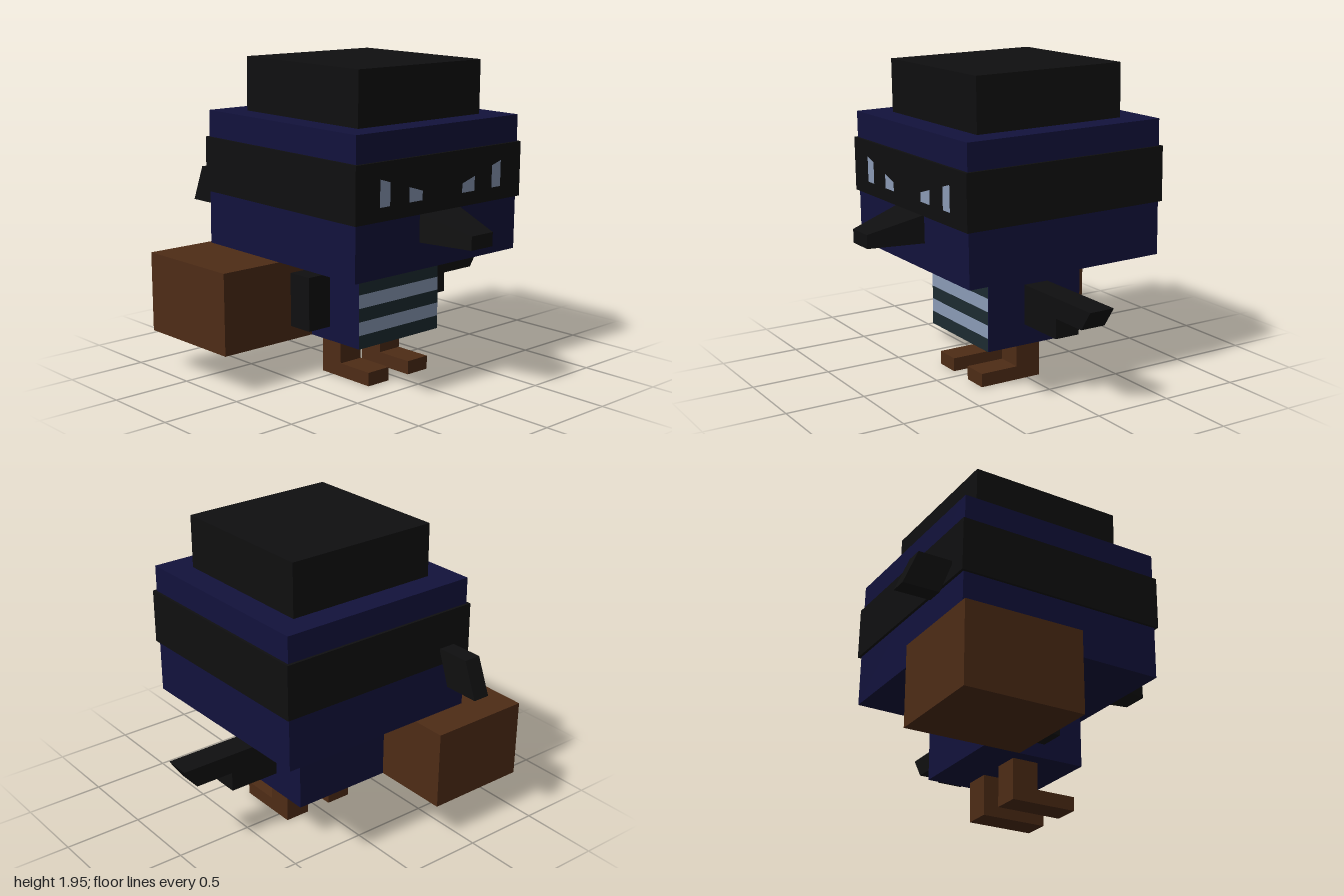
import * as THREE from 'three';

const mat = (color) => new THREE.MeshStandardMaterial({ color, flatShading: true });

export function createModel() {
  const model = new THREE.Group();
  const blue = mat(0x12123c), black = mat(0x0f0f10), brown = mat(0x4e2c16);
  const pale = mat(0x8c9cb8), slate = mat(0x1d2b31);

  const add = (parent, name, geometry, material) => {
    const mesh = new THREE.Mesh(geometry, material);
    mesh.name = name;
    parent.add(mesh);
    return mesh;
  };
  // Box given by its extents on each axis
  const box = (parent, name, material, [x0, x1], [y0, y1], [z0, z1]) => {
    const g = new THREE.BoxGeometry(x1 - x0, y1 - y0, z1 - z0);
    g.translate((x0 + x1) / 2, (y0 + y1) / 2, (z0 + z1) / 2);
    return add(parent, name, g, material);
  };
  const outline = (pts) => new THREE.Shape(pts.map(([x, y]) => new THREE.Vector2(x, y)));
  const prism = (pts, depth) =>
    new THREE.ExtrudeGeometry(outline(pts), { depth, bevelEnabled: false });

  // Torso with striped shirt front
  box(model, 'body', blue, [-0.333, 0.333], [0.25, 0.75], [-0.333, 0.33]);
  for (let i = 0; i < 6; i++) {
    const y = 0.25 + i / 12;
    const stripe = new THREE.PlaneGeometry(0.666, 1 / 12).translate(0, y + 1 / 24, 0.333);
    add(model, 'shirtStripe', stripe, i % 2 ? pale : slate);
  }

  // Legs and feet
  for (const s of [-1, 1]) {
    const leg = new THREE.Group();
    leg.name = s > 0 ? 'leftLeg' : 'rightLeg';
    model.add(leg);
    const xs = s > 0 ? [0.083, 0.25] : [-0.25, -0.083];
    box(leg, 'shin', brown, xs, [0, 0.25], [-0.09, 0.075]);
    box(leg, 'foot', brown, xs, [0, 0.085], [0.075, 0.327]);
  }

  // Left wing stretched out with a pointed tip, right wing holding the sack
  const wing = prism([[0.333, 0.38], [0.665, 0.38], [0.665, 0.505], [0.915, 0.505],
    [1, 0.63], [0.333, 0.63]], 0.165);
  add(model, 'leftWing', wing.translate(0, 0, -0.092), black);
  box(model, 'rightWing', black, [-0.5, -0.333], [0.337, 0.67], [-0.12, 0.073]);
  box(model, 'sack', brown, [-1, -0.333], [0.25, 0.75], [-0.84, -0.098]);

  // Head, nodding very slightly forward; contents are relative to its centre
  const head = new THREE.Group();
  head.name = 'head';
  head.position.y = 1.197;
  head.rotation.x = 0.0135;
  model.add(head);
  box(head, 'skull', blue, [-0.665, 0.665], [-0.417, 0.417], [-0.665, 0.665]);
  box(head, 'mask', black, [-0.682, 0.682], [-0.085, 0.253], [-0.682, 0.682]);
  box(head, 'hat', black, [-0.5, 0.5], [0.417, 0.748], [-0.5, 0.5]);

  // Beak: a box narrowed and lowered towards its tip
  const beak = new THREE.BoxGeometry(0.33, 0.17, 0.335).translate(0, -0.17, 0.8325);
  const p = beak.attributes.position;
  for (let i = 0; i < p.count; i++) {
    if (p.getZ(i) < 0.9) continue;
    p.setX(i, Math.sign(p.getX(i)) * 0.088);
    if (p.getY(i) > -0.17) p.setY(i, -0.172);
  }
  add(head, 'beak', beak, black);

  // Slanted eyes with a dark pupil between two pale slivers
  const brow = (x) => 0.053 + (x - 0.165) * 0.31;
  const eyeParts = [['eyeWhite', 0.165, 0.272, pale], ['pupil', 0.272, 0.422, black],
    ['eyeWhite', 0.422, 0.5, pale]];
  for (const s of [-1, 1]) {
    for (const [name, a, b, material] of eyeParts) {
      const shape = outline([[s * a, -0.003], [s * b, -0.003], [s * b, brow(b)], [s * a, brow(a)]]);
      add(head, name, new THREE.ShapeGeometry(shape).translate(0, 0, 0.685), material);
    }
  }

  // Loose tail of the mask's knot hanging behind the head
  const tail = prism([[0.675, 0.024], [0.755, -0.2], [0.987, -0.203], [0.897, 0.023]], 0.11);
  tail.rotateY(Math.PI / 2).translate(-0.558, 0, 0);
  add(head, 'maskTail', tail, black);

  return model;
}
